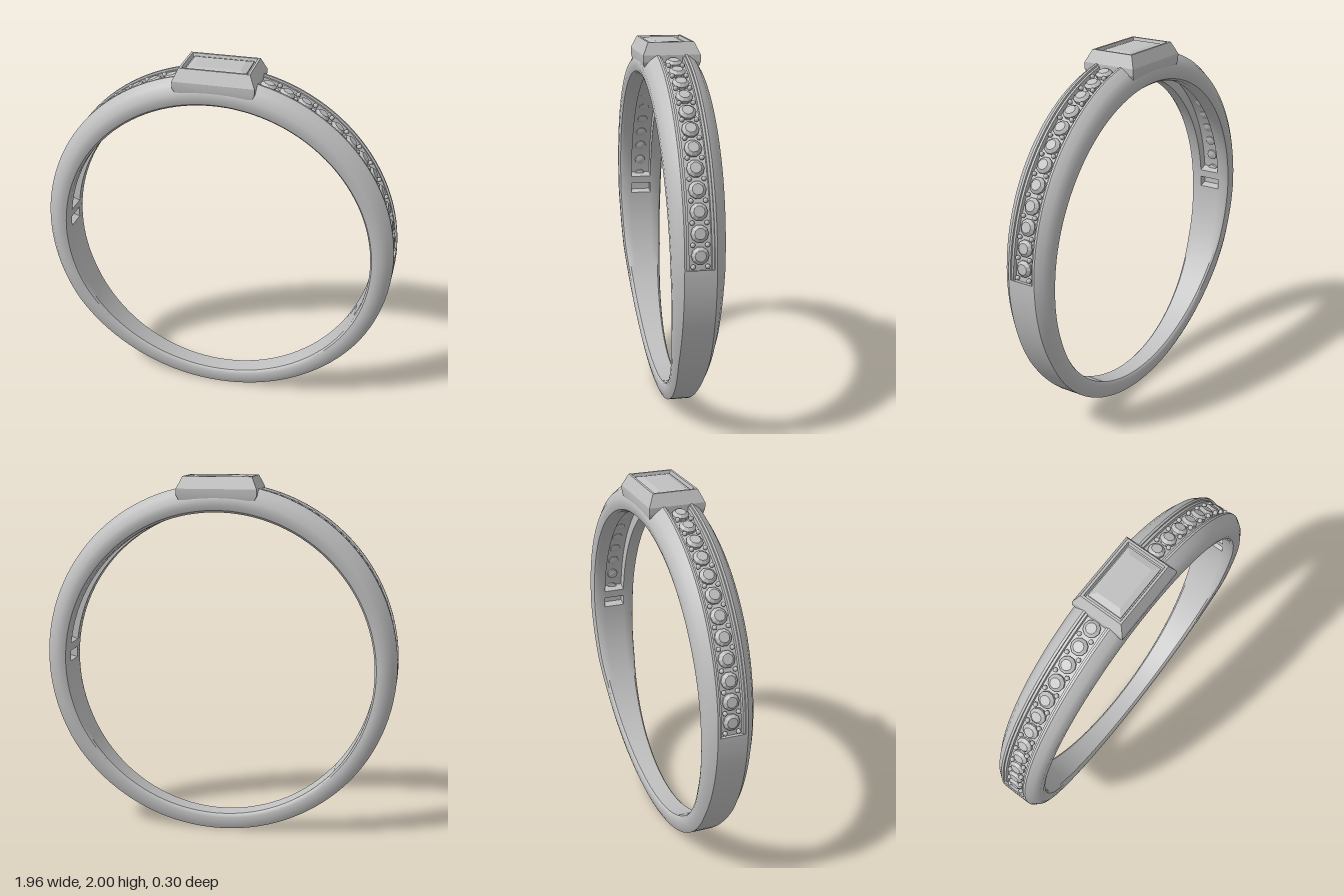
import * as THREE from 'three';
import { toCreasedNormals } from 'three/addons/utils/BufferGeometryUtils.js';

const OUTER = { y: 0.98, r: 0.98 };
const INNER = { y: 0.95, r: 0.86 };
const RAD = Math.PI / 180;

// Skin a list of closed rings; closeRows joins the last ring to the first.
function loft(rings, crease, closeRows = false) {
  const n = rings[0].length;
  const index = [];
  const rows = closeRows ? rings.length : rings.length - 1;
  for (let i = 0; i < rows; i++) {
    const next = (i + 1) % rings.length;
    for (let j = 0; j < n; j++) {
      const k = (j + 1) % n;
      const a = i * n + j, b = i * n + k, c = next * n + k, d = next * n + j;
      index.push(a, b, d, b, c, d);
    }
  }
  const geometry = new THREE.BufferGeometry();
  geometry.setAttribute('position', new THREE.Float32BufferAttribute(rings.flat(2), 3));
  geometry.setIndex(index);
  return toCreasedNormals(geometry, crease);
}

// Rectangular solid from [half x, y, half z] levels, capped at both ends.
function rectLoft(levels) {
  const ring = ([x, y, z]) => [[x, y, z], [x, y, -z], [-x, y, -z], [-x, y, z]];
  const first = levels[0], last = levels[levels.length - 1];
  return loft([[0, first[1], 0], ...levels, [0, last[1], 0]].map(ring), 0.2);
}

// Half width of the band, tapering towards the bottom.
const WIDTHS = [[-1, 0.06], [-0.83, 0.075], [-0.39, 0.115], [0, 0.132], [0.5, 0.143], [1, 0.151]];
function halfWidth(s) {
  let i = 0;
  while (i < WIDTHS.length - 2 && s > WIDTHS[i + 1][0]) i++;
  const [s0, w0] = WIDTHS[i], [s1, w1] = WIDTHS[i + 1];
  return w0 + (w1 - w0) * (s - s0) / (s1 - s0);
}

// Stone channel outside, windows inside, in degrees from the side up to the top.
const CHANNEL = [1, 79];
const WINDOWS = [[0, 4], [7, 77], [84, 96]];
const within = (a, [lo, hi]) => a > lo && a < hi;

function bandRing(deg) {
  const a = deg * RAD, cos = Math.cos(a), sin = Math.sin(a);
  const folded = deg > 90 && deg < 270 ? 180 - deg : deg;
  const outerCut = within(folded, CHANNEL) ? 1 : 0;
  const innerCut = WINDOWS.some((span) => within(folded, span)) ? 0.4 : 0;
  const w = halfWidth(sin);
  const flat = Math.min(0.08, w * 0.78);
  const rail = Math.min(0.068, flat * 0.85);
  const slot = Math.min(0.06, w * 0.5);
  const edge = w * 0.18;
  // [z, share of the thickness from inside to outside]
  const half = [
    [slot * 0.5, innerCut], [slot, innerCut], [slot, 0], [w - edge, 0],
    [w - edge * 0.35, 0.08], [w, 0.25], [w, 0.5], [w - (w - flat) * 0.4, 0.8],
    [flat, 1], [rail, 1], [rail, 1 - 0.08 * outerCut],
    [rail * 0.82, 1 - 0.08 * outerCut], [rail * 0.82, 1 - 0.25 * outerCut],
  ];
  const profile = [...half, ...half.slice().reverse().map(([z, t]) => [-z, t])];
  return profile.map(([z, t]) => {
    const r = INNER.r + (OUTER.r - INNER.r) * t;
    const y = INNER.y + (OUTER.y - INNER.y) * t;
    return [r * cos, y + r * sin, z];
  });
}

function bandGeometry() {
  const angles = [];
  for (let a = 1.5; a < 360; a += 3) angles.push(a);
  // Paired sections make crisp ends on every cut
  for (const edge of [...CHANNEL, ...WINDOWS.flat()]) {
    for (const a of [edge, 180 - edge]) {
      angles.push((a - 0.02 + 360) % 360, a + 0.02);
    }
  }
  angles.sort((p, q) => p - q);
  return loft(angles.map(bandRing), 0.6, true);
}

export function createModel() {
  const model = new THREE.Group();
  model.name = 'ring';
  const metal = new THREE.MeshStandardMaterial({ color: 0xc0c0c0 });
  metal.name = 'silver grey';

  function add(parent, name, geometry) {
    const mesh = new THREE.Mesh(geometry, metal);
    mesh.name = name;
    parent.add(mesh);
    return mesh;
  }

  add(model, 'band', bandGeometry());

  // Bezel with a sunken lip around the centre stone
  add(model, 'bezel', rectLoft([
    [0.205, 1.875, 0.147], [0.218, 1.9, 0.152], [0.218, 1.935, 0.152],
    [0.188, 2, 0.122], [0.176, 2, 0.11], [0.17, 1.98, 0.104],
  ]));
  add(model, 'centreStone', rectLoft([
    [0.16, 1.96, 0.098], [0.16, 1.988, 0.098], [0.125, 1.998, 0.068],
  ]));

  // Small round stones with bead prongs along both shoulders
  const stoneGeometry = toCreasedNormals(new THREE.LatheGeometry([
    [0, -0.092], [0.03, -0.085], [0.044, -0.028], [0.044, -0.02], [0.028, -0.006], [0, -0.006],
  ].map(([x, y]) => new THREE.Vector2(x, y)), 10), 0.3);
  const beadGeometry = new THREE.SphereGeometry(0.013, 8, 6);
  const count = 12, start = 5, step = 6.3;

  for (const side of [1, -1]) {
    const row = new THREE.Group();
    row.name = side > 0 ? 'leftStoneRow' : 'rightStoneRow';
    model.add(row);
    const place = (mesh, deg, radius, z) => {
      const a = deg * RAD;
      mesh.position.set(side * radius * Math.cos(a), OUTER.y + radius * Math.sin(a), z);
      mesh.rotation.z = side * (a - Math.PI / 2);
    };
    for (let i = 0; i < count; i++) {
      const deg = start + i * step;
      place(add(row, 'smallStone', stoneGeometry), deg, OUTER.r, 0);
      for (const z of [0.036, -0.036]) {
        place(add(row, 'beadProng', beadGeometry), deg - step / 2, OUTER.r - 0.016, z);
      }
    }
  }
  return model;
}
